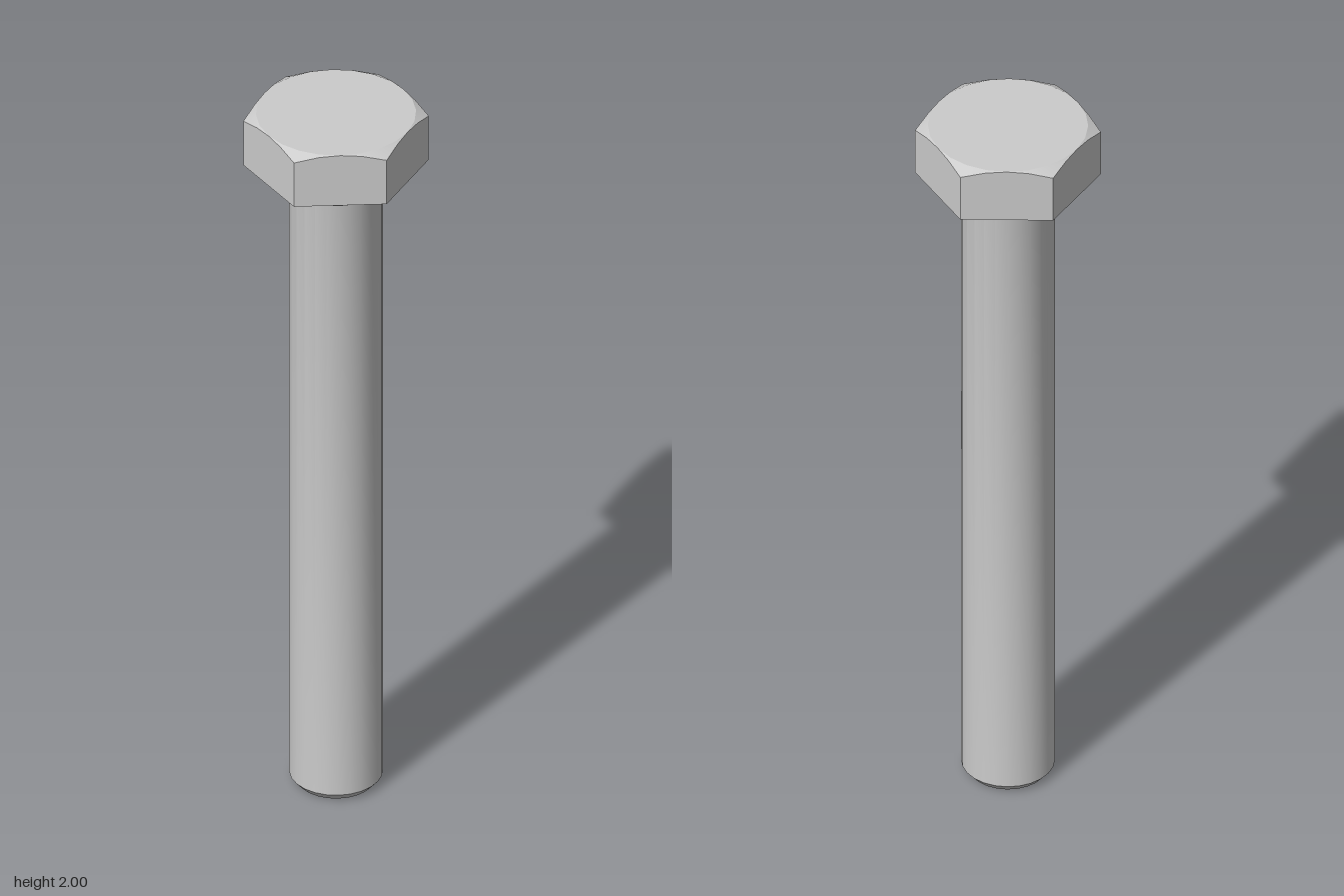
import * as THREE from 'three';
import { toCreasedNormals } from 'three/addons/utils/BufferGeometryUtils.js';

const SEGMENTS = 24;
const APOTHEM = 0.204;
const HEAD_TOP = 2;
const HEAD_BOTTOM = 1.85;
const CREASE = 0.35;

const material = new THREE.MeshStandardMaterial({ color: 0xcccccc });

function addPart(group, name, geometry) {
  const mesh = new THREE.Mesh(toCreasedNormals(geometry, CREASE), material);
  mesh.name = name;
  group.add(mesh);
}

// Turned part from [radius, height] pairs, listed bottom to top
function turned(profile) {
  return new THREE.LatheGeometry(profile.map(([r, y]) => new THREE.Vector2(r, y)), SEGMENTS);
}

// Hexagonal head whose upper corners are cut by a 30 degree cone
function hexHead() {
  const topRadius = APOTHEM - 0.0005;
  const slope = Math.tan(Math.PI / 6);
  const sector = Math.PI / 3;
  const hexRadius = (a) => APOTHEM / Math.cos((a % sector) - sector / 2);

  // Each ring gives [radius, height] at an angle, from the top centre to the bottom centre
  const rings = [
    () => [0, HEAD_TOP],
    () => [topRadius, HEAD_TOP],
    (a) => [hexRadius(a), HEAD_TOP - (hexRadius(a) - topRadius) * slope],
    (a) => [hexRadius(a), HEAD_BOTTOM],
    () => [0, HEAD_BOTTOM],
  ];
  const positions = [];
  const index = [];
  rings.forEach((ring, i) => {
    for (let j = 0; j < SEGMENTS; j++) {
      const a = (j / SEGMENTS) * Math.PI * 2;
      const [r, y] = ring(a);
      positions.push(r * Math.cos(a), y, r * Math.sin(a));
      if (i === 0) continue;
      const next = (j + 1) % SEGMENTS;
      const upper = (i - 1) * SEGMENTS;
      const lower = i * SEGMENTS;
      if (i > 1) index.push(lower + j, upper + j, upper + next);
      if (i < rings.length - 1) index.push(lower + j, upper + next, lower + next);
    }
  });
  const geometry = new THREE.BufferGeometry();
  geometry.setAttribute('position', new THREE.Float32BufferAttribute(positions, 3));
  geometry.setIndex(index);
  return geometry;
}

export function createModel() {
  const group = new THREE.Group();
  group.name = 'hexBolt';

  addPart(group, 'head', hexHead());

  // Thin bearing face under the head
  addPart(group, 'washerFace', turned([[0.11, 1.838], [0.188, 1.838], [0.188, HEAD_BOTTOM]]));

  // Plain shank with a chamfered tip and a small fillet at the head
  addPart(group, 'shank', turned([
    [0, 0], [0.1, 0], [0.119, 0.022], [0.119, 1.828], [0.121, 1.834], [0.126, 1.838],
  ]));

  return group;
}
